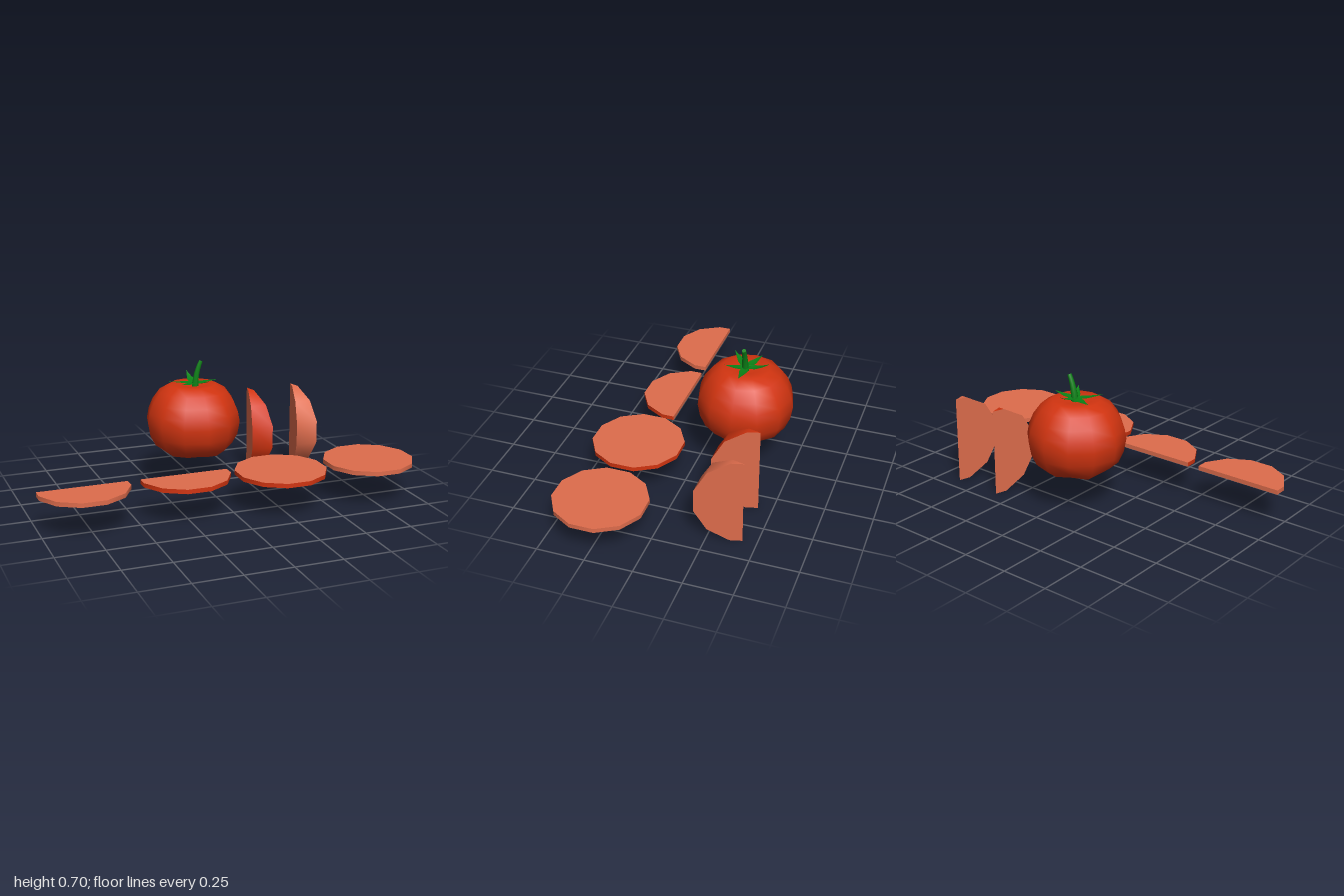
import * as THREE from 'three';
import { mergeVertices, toCreasedNormals } from 'three/addons/utils/BufferGeometryUtils.js';

const SIDES = 12;
const R = 0.241; // slice radius to a corner

export function createModel() {
  const model = new THREE.Group();
  model.name = 'tomatoSet';

  const material = (name, color, side = THREE.FrontSide) =>
    Object.assign(new THREE.MeshStandardMaterial({ color, side }), { name });
  const skin = material('red skin', 0xd23410);
  const flesh = material('salmon flesh', 0xde6c4c);
  const green = material('leaf green', 0x0b8216, THREE.DoubleSide);

  const add = (parent, name, geometry, mat, x = 0, y = 0, z = 0) => {
    const mesh = new THREE.Mesh(geometry, mat);
    mesh.name = name;
    mesh.position.set(x, y, z);
    parent.add(mesh);
    return mesh;
  };

  // Move every vertex of a geometry by a rule
  const deform = (geometry, rule) => {
    const p = geometry.attributes.position;
    const v = new THREE.Vector3();
    for (let i = 0; i < p.count; i++) {
      rule(v.fromBufferAttribute(p, i));
      p.setXYZ(i, v.x, v.y, v.z);
    }
    return geometry;
  };

  // Twelve-sided disc; group 0 is the rim, group 1 the cut faces.
  // A half disc is made by flattening everything behind z = 0.
  const disc = (height, half) => {
    const start = -THREE.MathUtils.degToRad(105);
    const g = new THREE.CylinderGeometry(R, R, height, SIDES, 1, false, start);
    if (half) deform(g, (v) => { v.z = Math.max(v.z, 0); });
    const rim = (half ? 7 : SIDES) * 6;
    g.clearGroups();
    g.addGroup(0, rim, 0);
    g.addGroup(rim, g.index.count - rim, 1);
    return g;
  };
  const crease = (g) => toCreasedNormals(g, THREE.MathUtils.degToRad(40));

  // Whole tomato, with a dimpled top and a lobed bottom
  const tomato = new THREE.Group();
  tomato.name = 'wholeTomato';
  tomato.position.set(-0.045, 0, -0.232);
  model.add(tomato);

  const profile = [
    [0, 0.225], [0.05, 0.205], [0.105, 0.193], [0.165, 0.212], [0.215, 0.25],
    [0.243, 0.31], [0.255, 0.38], [0.245, 0.435], [0.222, 0.49], [0.182, 0.545],
    [0.125, 0.578], [0.06, 0.572], [0, 0.562],
  ].map(([r, y]) => new THREE.Vector2(r, y));
  let body = new THREE.LatheGeometry(profile, SIDES);
  deform(body, (v) => {
    const r = Math.hypot(v.x, v.z);
    if (v.y < 0.3 && r > 0.04) v.y += 0.008 * Math.cos(5 * Math.atan2(v.x, v.z) + 1);
  });
  body.deleteAttribute('uv');
  body.deleteAttribute('normal');
  body = mergeVertices(body);
  body.computeVertexNormals();
  add(tomato, 'tomatoBody', body, skin);

  // Five pointed sepals: [tip x, tip z, tip rise]
  const sepals = [
    [0.0, -0.127, 0.045], [0.135, 0.003, 0.012], [0.058, 0.1, 0.03],
    [-0.11, 0.095, 0.022], [-0.128, -0.05, 0.01],
  ];
  for (const [x, z, rise] of sepals) {
    const length = Math.hypot(x, z);
    const g = deform(new THREE.PlaneGeometry(1, 1, 2, 5), (v) => {
      const t = v.y + 0.5;
      const width = t < 0.3 ? 0.03 + 0.06 * t : 0.048 * (1 - t) / 0.7;
      const fold = 0.006 * Math.abs(v.x) * 2 * (1 - t);
      v.set(v.x * width, rise * t * t + fold, t * length);
    });
    g.computeVertexNormals();
    const sepal = add(tomato, 'sepal', g, green, 0.008, 0.58, -0.002);
    sepal.rotation.y = Math.atan2(x, z);
  }

  // Bent stem, tapering towards its tip
  const path = new THREE.QuadraticBezierCurve3(
    new THREE.Vector3(0.012, 0.562, 0.002),
    new THREE.Vector3(0.016, 0.64, 0.002),
    new THREE.Vector3(0.046, 0.7, 0.002),
  );
  const stemRadius = (t) => 0.019 - 0.008 * t;
  const stem = new THREE.TubeGeometry(path, 6, 1, 8);
  const p = stem.attributes.position;
  const v = new THREE.Vector3();
  for (let i = 0; i < p.count; i++) {
    const t = Math.floor(i / 9) / 6;
    const centre = path.getPointAt(t);
    v.fromBufferAttribute(p, i).sub(centre).multiplyScalar(stemRadius(t)).add(centre);
    p.setXYZ(i, v.x, v.y, v.z);
  }
  add(tomato, 'stem', stem, green);
  const tip = add(tomato, 'stemTip', new THREE.CircleGeometry(stemRadius(1), 8), green);
  tip.position.copy(path.getPointAt(1));
  tip.quaternion.setFromUnitVectors(new THREE.Vector3(0, 0, 1), path.getTangentAt(1));

  // Round slices, half slices and wedges, each with and without skin
  const roundSlice = crease(disc(0.023, false));
  const halfSlice = crease(disc(0.023, true));
  const wedge = crease(deform(disc(2, true), (q) => { q.y *= q.z * 0.263; }).rotateZ(Math.PI / 2));
  const cuts = [
    ['roundSlice', roundSlice, 0.2015, 0.253, 0.26, 0.767],
    ['halfSlice', halfSlice, 0.2015, 0.155, -0.235, -0.767],
    ['wedge', wedge, 0.239, -0.427, 0.35, 0.62],
  ];
  for (const [name, geometry, y, z, skinnedX, peeledX] of cuts) {
    add(model, name, geometry, [skin, flesh], skinnedX, y, z);
    add(model, name + 'Peeled', geometry, [flesh, flesh], peeledX, y, z);
  }
  return model;
}
